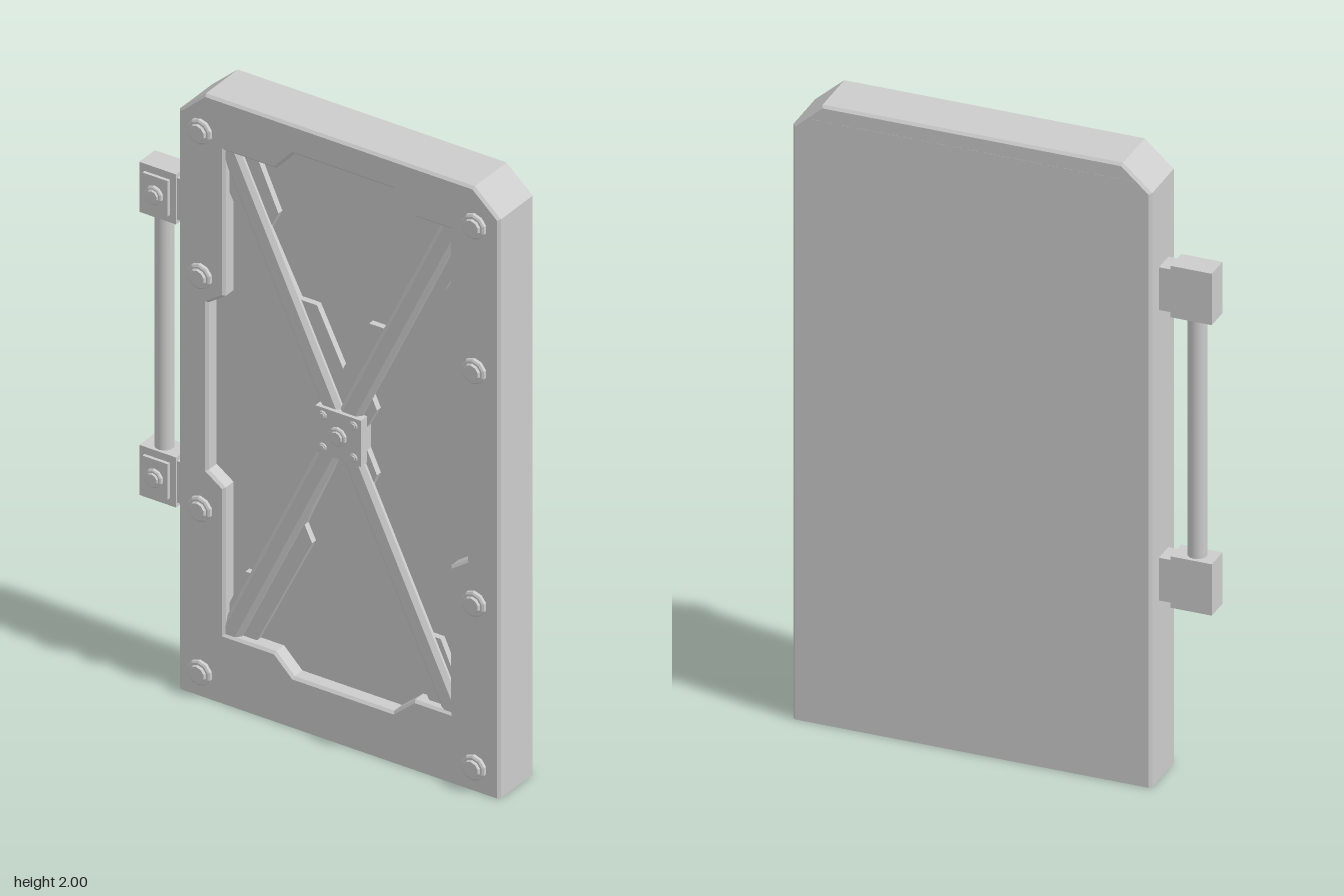
import * as THREE from 'three';

const grey = new THREE.MeshStandardMaterial({ color: 0xcccccc });
const flat = new THREE.MeshStandardMaterial({ color: 0xcccccc, flatShading: true });
const CX = 0.077; // centre line of the door panel

export function createModel() {
  const model = new THREE.Group();

  const add = (name, geometry, x = 0, y = 0, z = 0, material = flat) => {
    const mesh = new THREE.Mesh(geometry, material);
    mesh.name = name;
    mesh.position.set(x, y, z);
    model.add(mesh);
    return mesh;
  };

  // Box given by its limits on each axis
  const box = (name, x0, x1, y0, y1, z0, z1) =>
    add(name, new THREE.BoxGeometry(x1 - x0, y1 - y0, z1 - z0), (x0 + x1) / 2, (y0 + y1) / 2, (z0 + z1) / 2);

  const points = (list) => list.map(([x, y]) => new THREE.Vector2(x, y));

  // Stepped bolt head facing +z, standing on height z
  const bolt = (name, x, y, z, r, h) => {
    const profile = points([[0.001, 0], [r, 0], [r, h * 0.5], [r * 0.85, h * 0.65], [r * 0.7, h * 0.65], [r * 0.62, h], [0, h]]);
    const geometry = new THREE.LatheGeometry(profile, 10).rotateX(Math.PI / 2);
    add(name, geometry, x, y, z);
  };

  // Door frame with clipped top corners and a stepped opening
  const frame = new THREE.Shape(points([
    [-0.473, -0.02], [0.635, -0.02], [0.635, 1.92], [0.545, 2], [-0.383, 2], [-0.473, 1.92],
  ]));
  frame.holes.push(new THREE.Path(points([
    [-0.315, 0.23], [-0.315, 0.715], [-0.373, 0.755], [-0.373, 1.31], [-0.315, 1.35], [-0.315, 1.833],
    [-0.14, 1.833], [-0.077, 1.902], [0.267, 1.902], [0.34, 1.833], [0.463, 1.833],
    [0.463, 1.35], [0.521, 1.31], [0.521, 0.755], [0.463, 0.715], [0.463, 0.23],
    [0.34, 0.23], [0.267, 0.168], [-0.077, 0.168], [-0.14, 0.23],
  ])));
  const bevel = 0.008;
  const frameGeometry = new THREE.ExtrudeGeometry(frame, {
    depth: 0.177 - 2 * bevel, bevelSize: bevel, bevelThickness: bevel, bevelOffset: -bevel, bevelSegments: 1,
  }).translate(0, 0, -0.1 + bevel);
  // Flatten the foot of the door on the ground
  const pos = frameGeometry.attributes.position;
  for (let i = 0; i < pos.count; i++) pos.setY(i, Math.max(0, pos.getY(i)));
  frameGeometry.computeVertexNormals();
  add('doorFrame', frameGeometry);
  box('recessedPanel', -0.42, 0.57, 0.1, 1.95, -0.1004, 0.03);

  // Notched cross-shaped backing plate, mirrored from its left half
  const half = [
    [CX, 1.23], [-0.013, 1.41], [-0.077, 1.41], [-0.178, 1.605], [-0.146, 1.67], [-0.22, 1.833],
    [-0.315, 1.833], [-0.315, 1.685], [-0.273, 1.605], [-0.205, 1.605], [-0.012, 1.19], [-0.04, 1.13],
    [0.013, 1.028], [-0.04, 0.915], [-0.012, 0.85], [-0.19, 0.445], [-0.26, 0.445], [-0.315, 0.323],
    [-0.315, 0.23], [-0.22, 0.23], [-0.03, 0.615], [-0.056, 0.668], [0.045, 0.896],
  ];
  const mirrored = half.slice(1).reverse().map(([x, y]) => [2 * CX - x, y]);
  const plate = new THREE.Shape(points([...half, ...mirrored]));
  add('crossPlate', new THREE.ExtrudeGeometry(plate, { depth: 0.025, bevelEnabled: false }), 0, 0, 0.025);

  // Diagonal ribs with bevelled sides
  const rib = new THREE.Shape(points([[-0.034, 0], [0.034, 0], [0.034, 0.01], [0.02, 0.022], [-0.02, 0.022], [-0.034, 0.01]]));
  const length = Math.hypot(0.77, 1.61);
  for (const side of [-1, 1]) {
    const geometry = new THREE.ExtrudeGeometry(rib, { depth: length, bevelEnabled: false })
      .translate(0, 0, -length / 2).rotateX(Math.PI / 2);
    // Profile height now points along -z or +z; turn it to the front
    geometry.computeBoundingBox();
    if (geometry.boundingBox.max.z < 0.01) geometry.rotateY(Math.PI);
    const mesh = add('diagonalRib', geometry, CX, 1.03, 0.048);
    mesh.rotation.z = side * Math.atan2(0.77, 1.61);
  }

  // Centre hub with its bolts
  box('hubPlate', 0.003, 0.16, 0.947, 1.1, 0.03, 0.082);
  bolt('hubBolt', 0.082, 1.023, 0.082, 0.03, 0.015);
  for (const dx of [-0.053, 0.053])
    for (const dy of [-0.053, 0.053]) bolt('hubRivet', 0.082 + dx, 1.023 + dy, 0.082, 0.014, 0.008);

  // Frame bolts
  for (const x of [-0.397, 0.55])
    for (const y of [0.08, 0.623, 1.395, 1.875]) bolt('frameBolt', x, y, 0.076, 0.041, 0.022);

  // Side handle: two mounts and a rod
  for (const y of [0.648, 1.587]) {
    box('handleBlock', -0.638, -0.511, y - 0.083, y + 0.083, -0.046, 0.033);
    box('handleBracket', -0.515, -0.465, y - 0.069, y + 0.069, -0.042, 0.028);
    box('handlePad', -0.62, -0.533, y - 0.059, y + 0.059, 0.03, 0.044);
    bolt('handleBolt', -0.578, y, 0.044, 0.03, 0.017);
  }
  add('handleRod', new THREE.CylinderGeometry(0.029, 0.029, 0.85, 20), -0.577, 1.117, -0.005, grey);

  return model;
}
